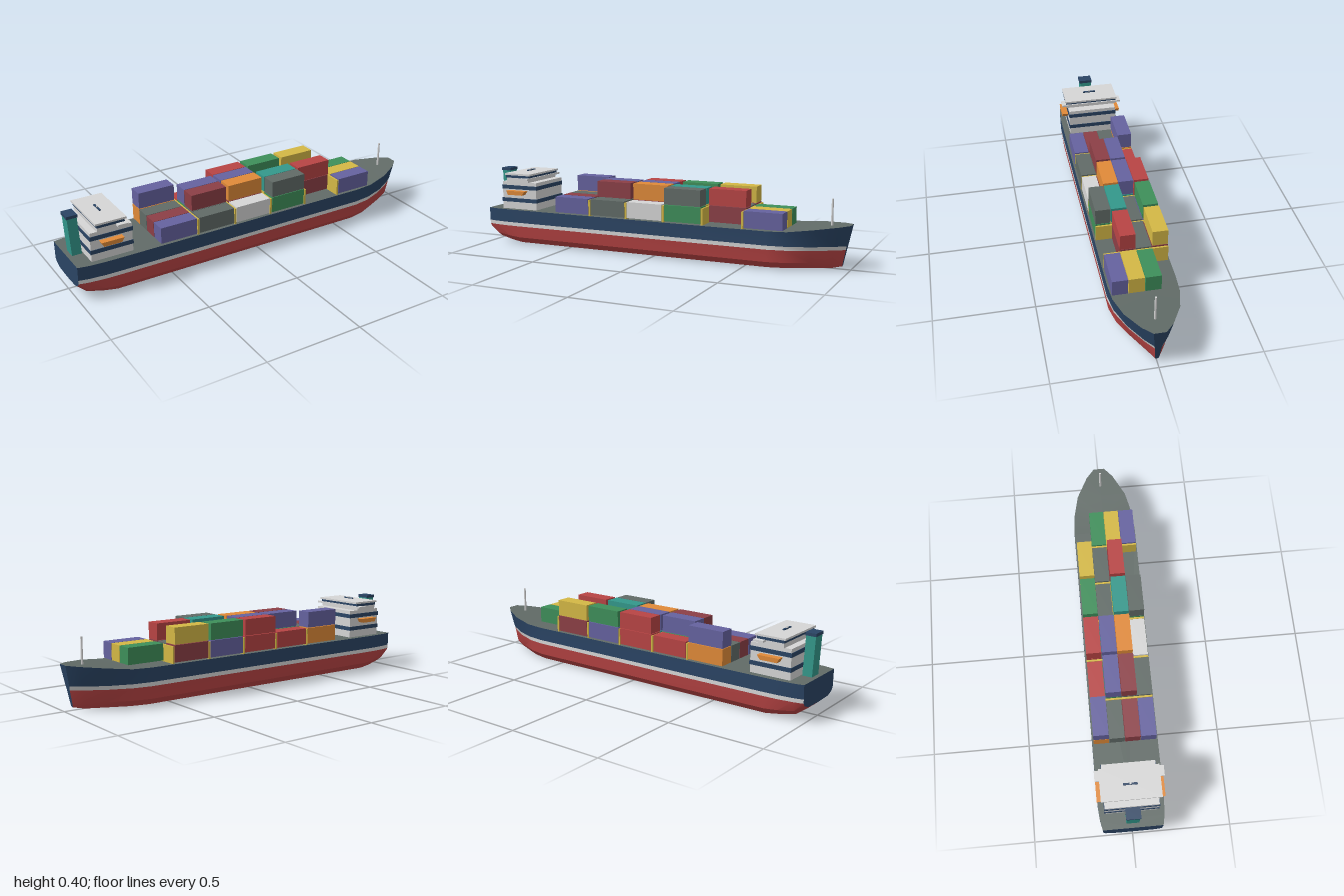
import * as THREE from 'three';
import { mergeVertices, toCreasedNormals } from 'three/addons/utils/BufferGeometryUtils.js';

const paint = (name, color) => {
  const m = new THREE.MeshStandardMaterial({ color });
  m.name = name;
  return m;
};

export function createModel() {
  const mats = {
    navy: paint('navy', 0x2a4464),
    white: paint('lightGrey', 0xd6d6d6),
    red: paint('red', 0xb84444),
    maroon: paint('maroon', 0x8c3f46),
    grey: paint('deckGrey', 0x616b67),
    purple: paint('purple', 0x65629f),
    yellow: paint('yellow', 0xd4b845),
    green: paint('green', 0x3e8f5a),
    teal: paint('teal', 0x33988b),
    orange: paint('orange', 0xe08a38),
  };
  const ship = new THREE.Group();
  ship.name = 'containerShip';

  const add = (name, geo, mat, parent = ship) => {
    const mesh = new THREE.Mesh(geo, mats[mat]);
    mesh.name = name;
    parent.add(mesh);
    return mesh;
  };
  // Box given by its limits
  const box = (name, mat, x0, x1, y0, y1, z0, z1, parent) => {
    const mesh = add(name, new THREE.BoxGeometry(x1 - x0, y1 - y0, z1 - z0), mat, parent);
    mesh.position.set((x0 + x1) / 2, (y0 + y1) / 2, (z0 + z1) / 2);
    return mesh;
  };

  // Hull stations: xTop, xBottom, deckY, wDeck, wWater, wBilge, yBilge, wBottom, yBottom, yKeel
  const stations = [
    [-1, -1, 0.19, 0.15, 0.147, 0.137, 0.085, 0.1, 0.07, 0.066],
    [-0.95, -0.95, 0.19, 0.16, 0.158, 0.145, 0.052, 0.115, 0.03, 0.025],
    [-0.87, -0.87, 0.19, 0.166, 0.166, 0.155, 0.042, 0.13, 0.016, 0.012],
    [-0.8, -0.8, 0.19, 0.167, 0.168, 0.161, 0.037, 0.135, 0.006, 0],
    [0.62, 0.62, 0.19, 0.167, 0.168, 0.161, 0.037, 0.135, 0.006, 0],
    [0.72, 0.71, 0.193, 0.161, 0.152, 0.142, 0.037, 0.115, 0.006, 0],
    [0.84, 0.81, 0.207, 0.132, 0.108, 0.095, 0.037, 0.07, 0.006, 0],
    [0.95, 0.905, 0.218, 0.073, 0.05, 0.041, 0.035, 0.026, 0.006, 0.002],
    [1, 0.955, 0.223, 0.029, 0.015, 0.011, 0.035, 0.008, 0.018, 0.015],
  ];
  // Half section from deck centre, round the side, to the keel
  const sections = stations.map(([xt, xb, yd, wd, ww, wb, yb, wf, yf, yk]) =>
    [[0, yd], [wd, yd], [ww + (wd - ww) * 0.3, 0.12], [ww, 0.1], [wb, yb], [wf, yf], [0, yk]]
      .map(([z, y]) => [xb + (xt - xb) * y / yd, y, z]));

  const quadsToGeometry = (quads) => {
    const pos = [];
    for (const side of [1, -1]) {
      for (const q of quads) {
        const order = side > 0 ? [0, 1, 2, 0, 2, 3] : [0, 2, 1, 0, 3, 2];
        for (const i of order) pos.push(q[i][0], q[i][1], q[i][2] * side);
      }
    }
    const g = new THREE.BufferGeometry();
    g.setAttribute('position', new THREE.Float32BufferAttribute(pos, 3));
    return toCreasedNormals(mergeVertices(g), 0.45);
  };
  const band = (name, mat, k0, k1) => {
    const quads = [];
    for (let i = 0; i < sections.length - 1; i++) {
      for (let k = k0; k < k1; k++) {
        const a = sections[i], b = sections[i + 1];
        quads.push([a[k], a[k + 1], b[k + 1], b[k]]);
      }
    }
    add(name, quadsToGeometry(quads), mat);
  };
  band('deck', 'grey', 0, 1);
  band('upperHull', 'navy', 1, 2);
  band('waterlineStripe', 'white', 2, 3);
  band('lowerHull', 'red', 3, 6);

  // Flat plates closing the stern and the stem
  const endPlate = (name, s, atBow) => {
    const quads = [];
    for (let k = 1; k < 6; k++) {
      const mid = (p) => [p[0], p[1], 0];
      const q = [s[k], s[k + 1], mid(s[k + 1]), mid(s[k])];
      quads.push(atBow ? q : q.reverse());
    }
    add(name, quadsToGeometry(quads), 'navy');
  };
  endPlate('transom', sections[0], false);
  endPlate('stem', sections[sections.length - 1], true);

  // Containers: bays from stern to bow, rows from z = -0.12 to 0.12, each stack bottom up
  const bays = [
    [['orange', 'purple'], ['grey'], ['maroon'], ['purple']],
    [['red'], ['green', 'purple'], ['grey', 'maroon'], ['grey']],
    [['red', 'red'], ['teal', 'purple'], ['maroon', 'orange'], ['white']],
    [['purple', 'green'], ['grey'], ['yellow', 'teal'], ['green', 'grey']],
    [['maroon', 'yellow'], ['grey'], ['maroon', 'red'], []],
    [[], ['green'], ['yellow'], ['purple']],
  ];
  const cargo = new THREE.Group();
  cargo.name = 'cargo';
  ship.add(cargo);
  const pitch = 0.2135, length = 0.198;
  bays.forEach((rows, b) => {
    const x = -0.567 + b * pitch;
    rows.forEach((stack, r) => stack.forEach((color, level) => {
      const z = -0.12 + r * 0.08, y = 0.196 + level * 0.0865;
      box('container', color, x, x + length, y, y + 0.084, z - 0.0385, z + 0.0385, cargo);
    }));
    // Lashing frame in the gap after the bay
    if (b < 5) box('lashingFrame', 'yellow', x + length + 0.003, x + pitch - 0.003, 0.185, 0.275, -0.159, 0.159, cargo);
  });

  // Accommodation block with window bands
  const house = new THREE.Group();
  house.name = 'superstructure';
  ship.add(house);
  box('accommodation', 'white', -0.92, -0.705, 0.185, 0.34, -0.133, 0.133, house);
  for (const y of [0.229, 0.3]) {
    box('windowBand', 'navy', -0.923, -0.702, y, y + 0.021, -0.136, 0.136, house);
  }
  box('bridge', 'white', -0.885, -0.75, 0.34, 0.366, -0.143, 0.143, house);
  box('bridgeWindows', 'navy', -0.888, -0.745, 0.364, 0.379, -0.146, 0.146, house);
  box('bridgeWings', 'white', -0.79, -0.738, 0.355, 0.365, -0.17, 0.17, house);
  box('bridgeRoof', 'white', -0.895, -0.735, 0.378, 0.388, -0.148, 0.148, house);
  box('radarPost', 'white', -0.824, -0.816, 0.388, 0.402, -0.005, 0.005, house);
  box('radarBar', 'navy', -0.825, -0.815, 0.391, 0.396, -0.035, 0.035, house);

  // Lifeboats on both sides
  const boat = new THREE.Shape();
  [[-0.877, 0.294], [-0.865, 0.272], [-0.775, 0.272], [-0.76, 0.294]]
    .forEach(([x, y], i) => (i ? boat.lineTo(x, y) : boat.moveTo(x, y)));
  const boatGeo = new THREE.ExtrudeGeometry(boat, { depth: 0.034, bevelEnabled: false });
  for (const z of [0.134, -0.168]) add('lifeboat', boatGeo, 'orange', house).position.z = z;

  // Funnel leaning slightly aft
  const funnelGeo = new THREE.BoxGeometry(0.05, 0.205, 0.064);
  const p = funnelGeo.attributes.position;
  for (let i = 0; i < p.count; i++) p.setX(i, p.getX(i) - p.getY(i) * 0.05);
  funnelGeo.computeVertexNormals();
  add('funnel', funnelGeo, 'teal').position.set(-0.957, 0.2875, 0);
  box('funnelCap', 'navy', -0.99, -0.934, 0.387, 0.402, -0.036, 0.036);

  // Foremast
  add('foremast', new THREE.CylinderGeometry(0.005, 0.006, 0.137, 8), 'white').position.set(0.9, 0.2765, 0);

  return ship;
}
